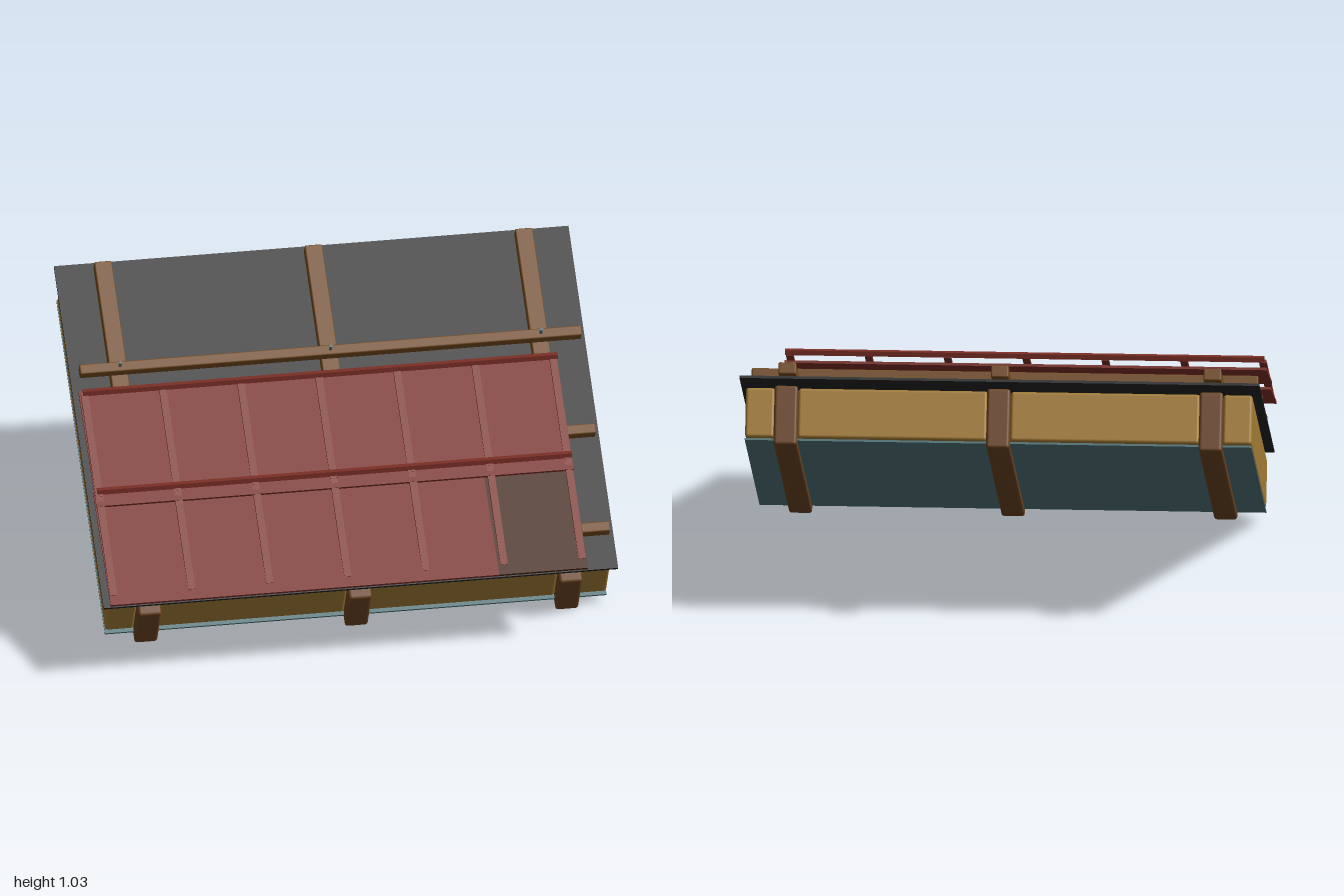
import * as THREE from 'three';
import { RoundedBoxGeometry } from 'three/addons/geometries/RoundedBoxGeometry.js';

const material = (name, color) => {
  const m = new THREE.MeshStandardMaterial({ color });
  m.name = name;
  return m;
};

export function createModel() {
  const rafterWood = material('rafter wood', 0x6b4423);
  const battenWood = material('batten wood', 0x734b20);
  const insulationYellow = material('insulation yellow', 0xa37c35);
  const membraneBlack = material('membrane black', 0x232323);
  const barrierTeal = material('vapour barrier teal', 0x50757a);
  const sheetRed = material('sheet red', 0x7d2f27);
  const bareBrown = material('bare brown', 0x482811);

  const model = new THREE.Group();
  model.name = 'roofSection';

  // Box from ranges on each axis, with optional softened edges
  const slab = (parent, name, mat, [x0, x1], [y0, y1], [z0, z1], r = 0) => {
    const size = [x1 - x0, y1 - y0, z1 - z0];
    const geo = r ? new RoundedBoxGeometry(...size, 2, r) : new THREE.BoxGeometry(...size);
    const mesh = new THREE.Mesh(geo, mat);
    mesh.name = name;
    mesh.position.set((x0 + x1) / 2, (y0 + y1) / 2, (z0 + z1) / 2);
    parent.add(mesh);
    return mesh;
  };

  // Layers share the 30 degree pitch: local y is the roof normal, -z runs upslope
  const pitch = Math.PI / 6;
  const layers = new THREE.Group();
  layers.name = 'pitchedLayers';
  layers.rotation.x = pitch;
  model.add(layers);

  const rafterX = [-0.818, 0, 0.818];
  for (const x of rafterX) {
    slab(layers, 'rafter', rafterWood, [x - 0.045, x + 0.045], [0.255, 0.487], [-1.1, 0.445], 0.012);
    slab(layers, 'counterBatten', battenWood, [x - 0.034, x + 0.034], [0.54, 0.586], [-1.05, 0.394], 0.006);
  }

  // Insulation fills the bays between and outside the rafters
  const bays = [[-0.975, -0.863], [-0.773, -0.045], [0.045, 0.773], [0.863, 0.975]];
  for (const bay of bays) {
    slab(layers, 'insulation', insulationYellow, bay, [0.293, 0.486], [-1.047, 0.4], 0.012);
  }
  slab(layers, 'vapourBarrier', barrierTeal, [-0.975, 0.975], [0.279, 0.287], [-1.055, 0.408]);
  slab(layers, 'membrane', membraneBlack, [-1, 1], [0.517, 0.527], [-1.075, 0.425]);

  // Cross battens with a fixing at every counter batten
  const nail = new THREE.CylinderGeometry(0.006, 0.006, 0.035, 10);
  for (const z of [0.299, -0.13, -0.559]) {
    slab(layers, 'crossBatten', battenWood, [-0.975, 0.975], [0.603, 0.643], [z - 0.021, z + 0.021], 0.006);
    for (const x of rafterX) {
      const mesh = new THREE.Mesh(nail, barrierTeal);
      mesh.name = 'fixing';
      mesh.position.set(x, 0.653, z);
      layers.add(mesh);
    }
  }

  // Two overlapping courses of roof sheets, each with ribs and a top lip
  const sheetPitch = 0.455;
  for (let row = 0; row < 2; row++) {
    const course = new THREE.Group();
    course.name = row ? 'upperCourse' : 'lowerCourse';
    course.position.set(0, 0.485 + row * 0.217, 0.584 - row * 0.374);
    model.add(course);

    for (let i = 0; i < 6; i++) {
      const x = -0.8275 + i * 0.302;
      const bare = row === 0 && i === 5;
      const right = bare || i === 5 ? x + 0.1725 : x + 0.1295;
      const panel = slab(course, bare ? 'bareSheet' : 'sheet', bare ? bareBrown : sheetRed,
        [x - 0.1725, right], [-0.005, 0.005], [-0.262, 0.262]);
      panel.rotation.x = sheetPitch;
    }
    for (let i = 0; i < 7; i++) {
      const x = -0.983 + i * 0.3035;
      const rib = slab(course, 'rib', sheetRed, [x - 0.014, x + 0.014], [-0.006, 0.006], [-0.227, 0.227]);
      rib.rotation.x = pitch;
      rib.position.set(x, 0.019, 0);
    }
    const lip = slab(course, 'topLip', sheetRed, [-0.99, 0.855], [-0.01, 0.01], [-0.01, 0.01]);
    lip.position.set(-0.0675, 0.139, -0.192);
  }

  return model;
}
